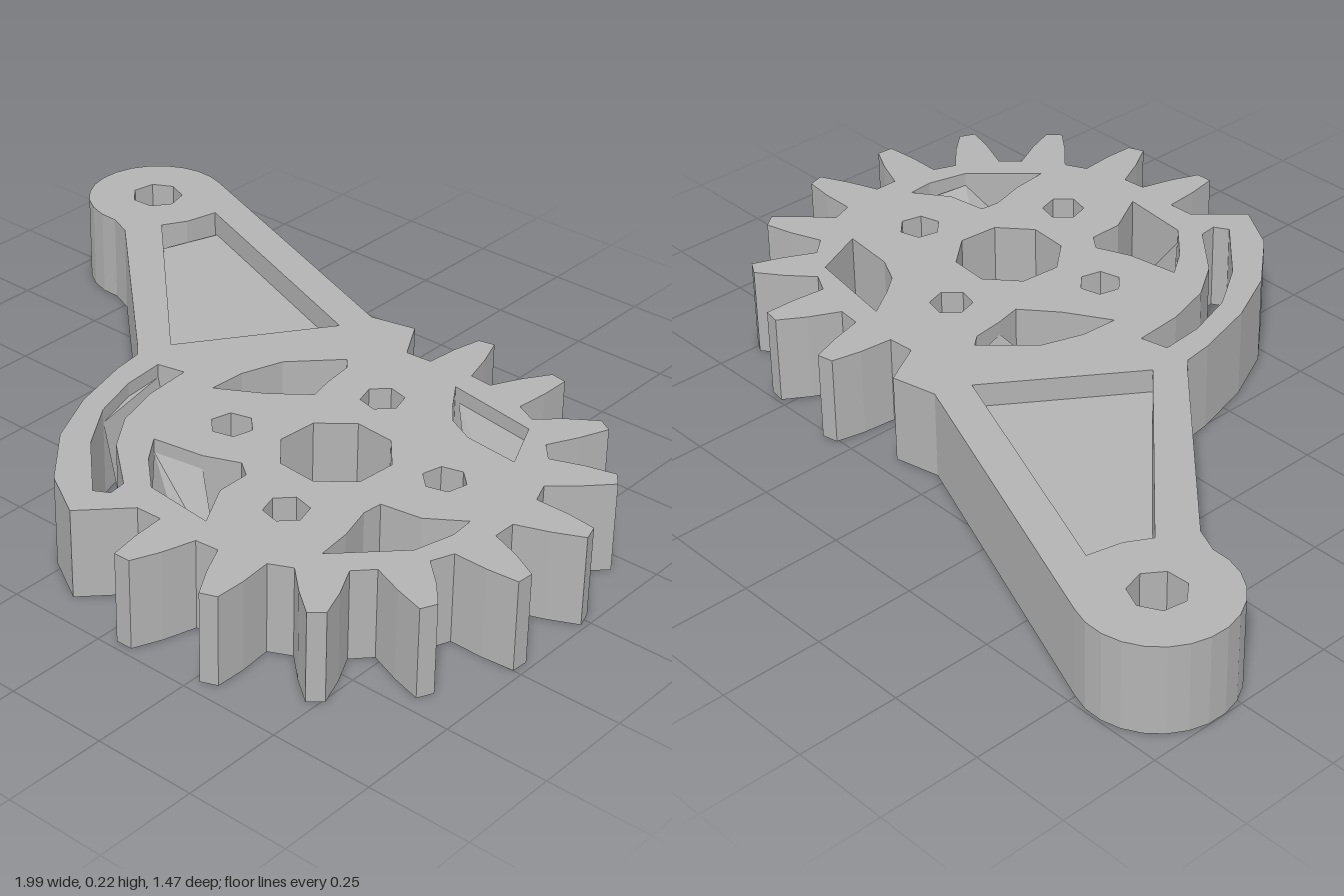
import * as THREE from 'three';

const H = 0.225;                       // plate thickness
const GEAR = [0.37, 0.11];             // gear axis (x, z)
const PIVOT = [-0.82, -0.565];         // arm eye axis (x, z)
const polar = ([cx, cz], r, deg) => {
  const a = THREE.MathUtils.degToRad(deg);
  return [cx + r * Math.cos(a), cz + r * Math.sin(a)];
};
const polygon = (c, r, n, start) =>
  Array.from({ length: n }, (_, i) => polar(c, r, start + (i * 360) / n));
const vectors = (pts) => pts.map(([x, z]) => new THREE.Vector2(x, z));

// Upright slab from an (x, z) outline, between two heights
function slab(outline, holes, y0, y1) {
  const shape = new THREE.Shape(vectors(outline));
  shape.holes = holes.map((h) => new THREE.Path(vectors(h)));
  const geo = new THREE.ExtrudeGeometry(shape, { depth: y1 - y0, bevelEnabled: false });
  return geo.rotateX(Math.PI / 2).translate(0, y1, 0);
}

// Sloping sheet: a fan over [x, y, z] corners
function sheet(corners) {
  const pos = [];
  for (let i = 1; i < corners.length - 1; i++) pos.push(...corners[0], ...corners[i], ...corners[i + 1]);
  const geo = new THREE.BufferGeometry();
  geo.setAttribute('position', new THREE.Float32BufferAttribute(pos, 3));
  geo.computeVertexNormals();
  return geo;
}

export function createModel() {
  const group = new THREE.Group();
  const grey = new THREE.MeshStandardMaterial({ color: 0xb3b3b3, side: THREE.DoubleSide });
  grey.name = 'plain grey';
  const add = (name, geo) => {
    const mesh = new THREE.Mesh(geo, grey);
    mesh.name = name;
    group.add(mesh);
  };

  // Outline: round arm end, upper edge, ten teeth, curved guard, lower edge
  const outline = [];
  for (let i = 0; i <= 14; i++) outline.push(polar(PIVOT, 0.18, 84 + i * 15));
  outline.push([0.03, -0.425], [0.145, -0.45], [0.205, -0.345]);
  const tooth = [[0.47, -7], [0.55, -4.4], [0.62, -1.9], [0.625, 1.9], [0.55, 4.4], [0.47, 7]];
  for (let k = 0; k < 10; k++) {
    for (const [r, d] of tooth) outline.push(polar(GEAR, r, -95 + k * 21.2 + d));
  }
  outline.push([0.2, 0.57], [0.1, 0.675], [-0.02, 0.605], [-0.14, 0.467], [-0.21, 0.323],
    [-0.254, 0.163], [-0.264, 0.088], [-0.29, 0.06], [-0.74, -0.36]);

  // Openings
  const recess = [[-0.635, -0.59], [0, -0.34], [-0.238, 0], [-0.69, -0.445], [-0.655, -0.505]];
  const slot = [[-0.195, 0.09], [-0.185, 0.2], [-0.145, 0.325], [-0.065, 0.445], [0.08, 0.585],
    [0.115, 0.565], [0.11, 0.52], [-0.015, 0.415], [-0.08, 0.32], [-0.115, 0.2], [-0.125, 0.075]];
  const windows = [
    [[0.39, -0.295], [0.63, -0.255], [0.69, -0.12], [0.55, -0.135], [0.48, -0.17], [0.44, -0.22]],
    [[0.12, -0.225], [0.145, -0.195], [0.155, -0.115], [0.17, -0.05], [0.085, 0.02],
      [-0.025, 0.085], [-0.02, -0.01], [0.015, -0.115]],
    [[0.03, 0.34], [0.16, 0.32], [0.245, 0.285], [0.285, 0.315], [0.285, 0.4],
      [0.345, 0.51], [0.165, 0.49], [0.08, 0.41]],
    [[0.58, 0.21], [0.68, 0.195], [0.765, 0.135], [0.77, 0.2], [0.745, 0.3],
      [0.61, 0.44], [0.6, 0.35], [0.575, 0.26]],
  ];
  const boltHoles = [-106, -16, 74, 165].map((a) => polygon(polar(GEAR, 0.26, a), 0.052, 6, a));
  const bore = polygon(GEAR, 0.133, 8, -18);
  const eye = polygon(PIVOT, 0.066, 7, 10);
  add('gearArmPlate', slab(outline, [recess, slot, ...windows, ...boltHoles, bore, eye], 0, H));

  // Thin web closing the arm recess half way down
  const web = [[-0.625, -0.587], [0, -0.34], [-0.238, 0], [-0.675, -0.435]];
  add('armWeb', slab(web, [], 0.065, 0.165));

  // Sloping inner faces of the gear windows and the guard slot
  const T = 0.19, B = 0.02;
  const slopes = [
    [[0.4, T, -0.295], [0.63, T, -0.255], [0.69, B, -0.12], [0.56, B, -0.15]],
    [[0.12, T, -0.225], [0.155, T, -0.115], [0.085, B, 0.02], [-0.02, B, 0.075]],
    [[0.03, T, 0.34], [0.16, T, 0.32], [0.28, B, 0.4], [0.3, B, 0.5], [0.165, T, 0.49]],
    [[0.59, B, 0.22], [0.765, T, 0.15], [0.745, T, 0.3], [0.63, B, 0.41]],
    [[-0.195, T, 0.09], [-0.185, T, 0.2], [-0.145, T, 0.325], [-0.11, B, 0.32], [-0.155, B, 0.09]],
  ];
  slopes.forEach((s, i) => add(i < 4 ? 'windowSlope' : 'slotSlope', sheet(s)));
  return group;
}
